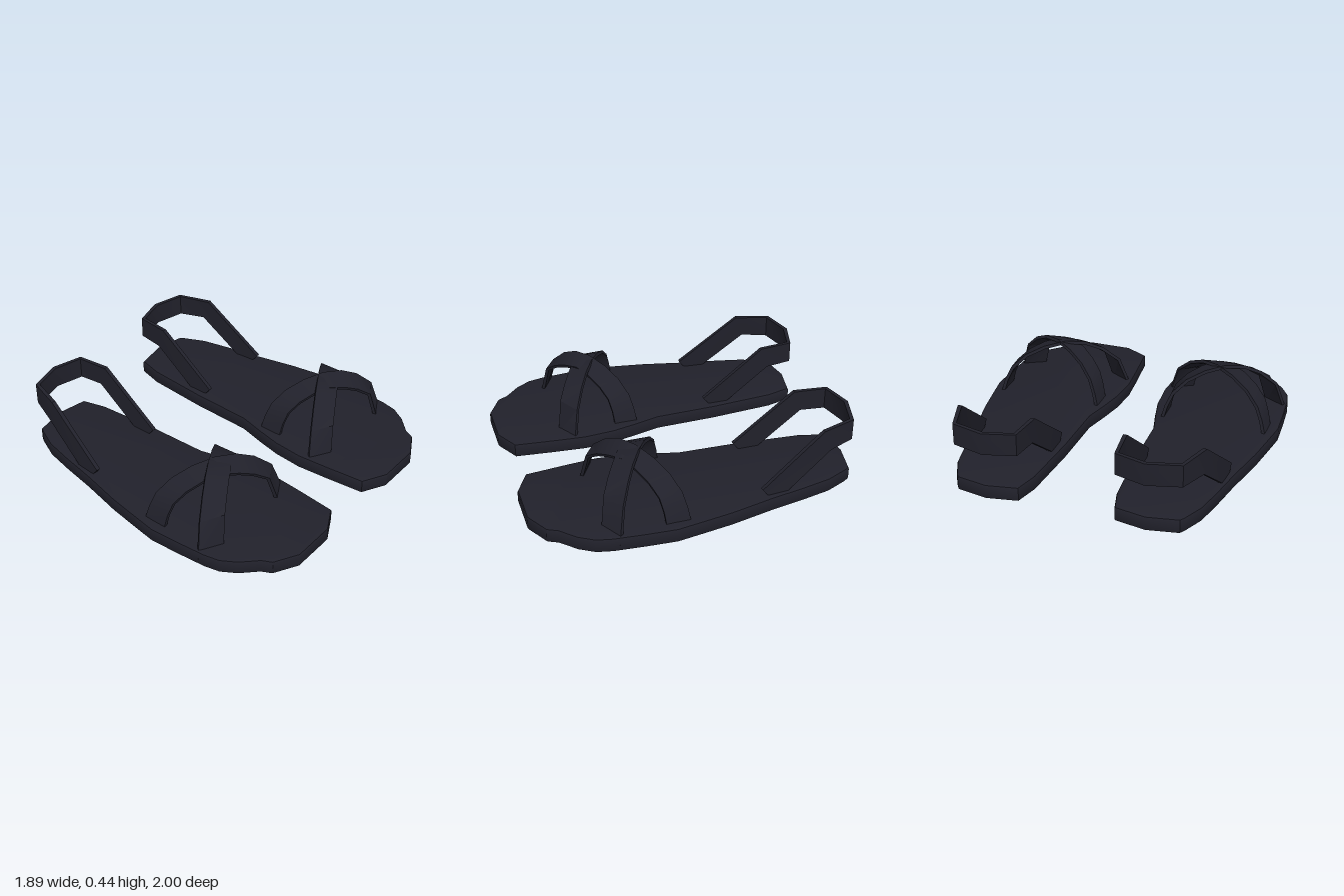
import * as THREE from 'three';
import { toCreasedNormals } from 'three/addons/utils/BufferGeometryUtils.js';

const leather = new THREE.MeshStandardMaterial({ color: 0x21212b });
leather.name = 'dark leather';

// Sole outline of the left sandal as x, z pairs, clockwise from the toe
const OUTLINE = [
  [0.31, 1], [0.58, 1], [0.725, 0.92], [0.755, 0.86], [0.845, 0.77], [0.9, 0.68], [0.92, 0.585],
  [0.935, 0.4], [0.945, 0.215], [0.92, 0.055], [0.89, -0.13], [0.83, -0.395], [0.79, -0.61],
  [0.75, -0.79], [0.69, -0.92], [0.67, -0.95], [0.48, -0.985], [0.29, -0.95], [0.25, -0.8],
  [0.235, -0.6], [0.22, -0.4], [0.21, -0.02], [0.17, 0.135], [0.135, 0.295], [0.12, 0.48],
  [0.135, 0.67], [0.16, 0.92],
];

// Heel strap: x, z of the path, heights of lower and upper edge, z shift of the lower edge
const HEEL = [
  [0.795, -0.345, 0.03, 0.135, -0.085], [0.75, -0.735, 0.3, 0.435, -0.045],
  [0.68, -0.945, 0.3, 0.435, 0], [0.48, -0.998, 0.3, 0.435, 0], [0.29, -0.945, 0.3, 0.435, 0],
  [0.265, -0.735, 0.3, 0.435, -0.045], [0.265, -0.345, 0.03, 0.135, -0.085],
];

// Cross strap arch: position along the strap, height of the front and back edge
const ARCH = [
  [0, 0.06, 0.06], [0.04, 0.17, 0.17], [0.09, 0.25, 0.255], [0.2, 0.315, 0.335], [0.34, 0.36, 0.385],
  [0.5, 0.38, 0.41], [0.65, 0.355, 0.395], [0.78, 0.32, 0.345], [0.91, 0.26, 0.25], [1, 0.06, 0.04],
];

function mesh(geometry, name) {
  const m = new THREE.Mesh(toCreasedNormals(geometry, 0.55), leather);
  m.name = name;
  return m;
}

// Solid band between two edge curves; its outer side faces tangent x (b - a)
function band(a, b, thickness) {
  const pos = [], index = [], last = a.length - 1;
  a.forEach((p, i) => {
    const lo = Math.max(i - 1, 0), hi = Math.min(i + 1, last);
    const tangent = a[hi].clone().sub(a[lo]).add(b[hi]).sub(b[lo]);
    const inward = tangent.cross(b[i].clone().sub(p)).setLength(-thickness);
    const ring = [p, b[i], b[i].clone().add(inward), p.clone().add(inward)];
    ring.forEach((v) => pos.push(v.x, v.y, v.z));
    if (i === last) return;
    for (let j = 0; j < 4; j++) {
      const k = (j + 1) % 4, r = i * 4, n = r + 4;
      index.push(r + j, n + j, r + k, r + k, n + j, n + k);
    }
  });
  const e = last * 4;
  index.push(0, 1, 2, 0, 2, 3, e, e + 2, e + 1, e, e + 3, e + 2);
  const g = new THREE.BufferGeometry();
  g.setAttribute('position', new THREE.Float32BufferAttribute(pos, 3));
  g.setIndex(index);
  return g;
}

function sole(side) {
  const shape = new THREE.Shape(OUTLINE.map(([x, z]) => new THREE.Vector2(x * side, -z)));
  const bevel = 0.014;
  const g = new THREE.ExtrudeGeometry(shape, {
    depth: 0.092 - 2 * bevel, bevelThickness: bevel, bevelSize: bevel, bevelOffset: -bevel, bevelSegments: 2,
  });
  g.translate(0, 0, bevel).rotateX(-Math.PI / 2);
  return mesh(g, 'sole');
}

function heelStrap(side) {
  const lower = HEEL.map(([x, z, y, , dz]) => new THREE.Vector3(x * side, y, z + dz));
  const upper = HEEL.map(([x, z, , y]) => new THREE.Vector3(x * side, y, z));
  return mesh(side > 0 ? band(lower, upper, 0.025) : band(upper, lower, 0.025), 'heelStrap');
}

// Ends of the front and back edge are given as x, z pairs
function crossStrap(side, [f0, f1, b0, b1], flipped, lift, name) {
  const edge = (p, q, column) => ARCH.map((row) => new THREE.Vector3(
    side * THREE.MathUtils.lerp(p[0], q[0], row[0]), row[column] + lift, THREE.MathUtils.lerp(p[1], q[1], row[0])));
  const front = edge(f0, f1, 1), back = edge(b0, b1, 2);
  return mesh((side < 0) !== flipped ? band(back, front, 0.02) : band(front, back, 0.02), name);
}

function sandal(side) {
  const g = new THREE.Group();
  g.name = side > 0 ? 'leftSandal' : 'rightSandal';
  g.add(
    sole(side),
    heelStrap(side),
    crossStrap(side, [[0.205, 0.26], [0.785, 0.62], [0.205, 0.115], [0.925, 0.55]], false, 0, 'outerToeStrap'),
    crossStrap(side, [[0.89, 0.26], [0.265, 0.62], [0.89, 0.115], [0.13, 0.55]], true, -0.004, 'innerToeStrap'),
  );
  return g;
}

export function createModel() {
  const model = new THREE.Group();
  model.name = 'sandals';
  model.add(sandal(1), sandal(-1));
  return model;
}
